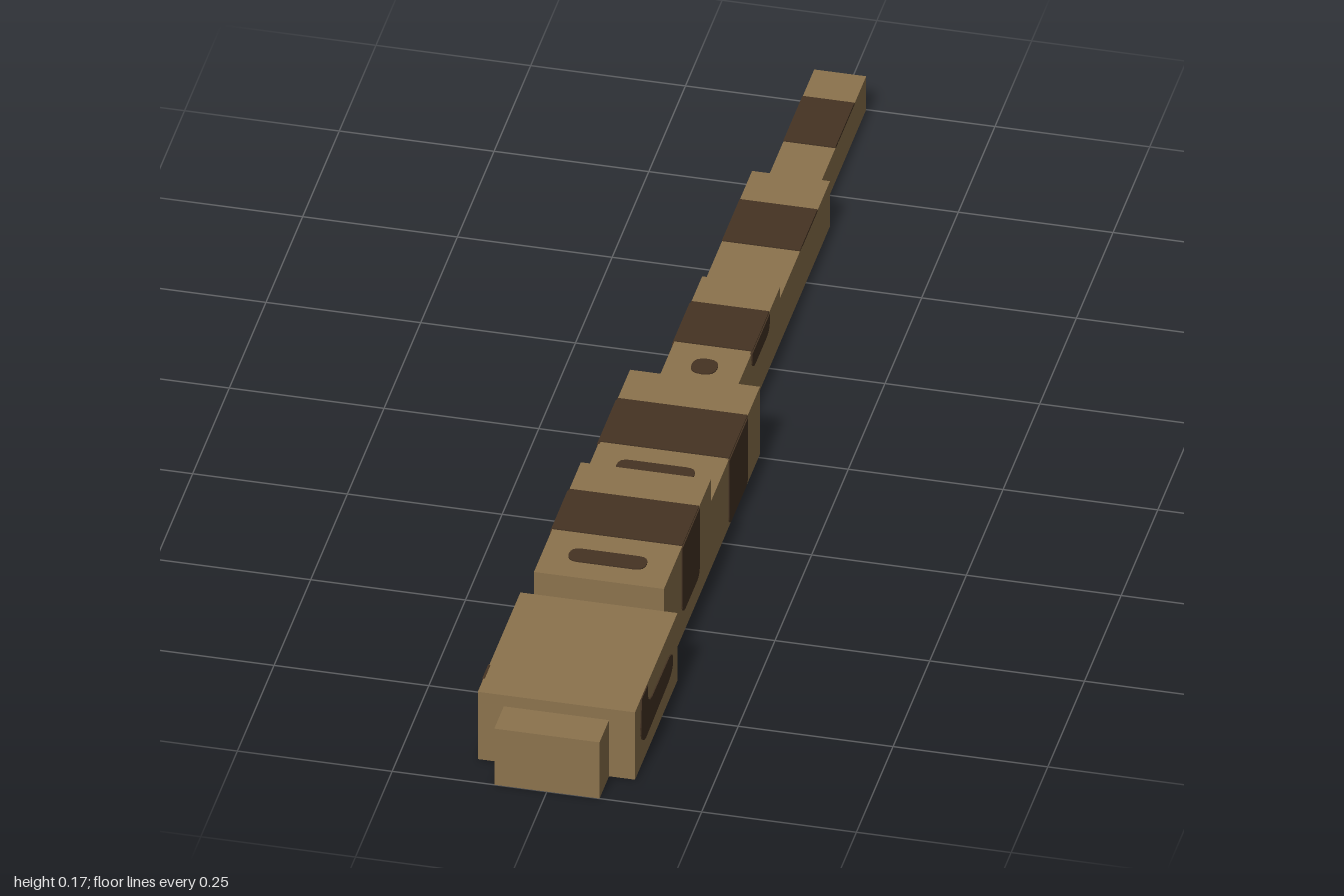
import * as THREE from 'three';

const PLATE = 0.004; // painted marks straddle the surface by half of this

// Rounded rectangle with separate radii for lower and upper corners
function roundedRect(x0, x1, y0, y1, rLow, rHigh) {
  const s = new THREE.Shape();
  s.moveTo(x0 + rLow, y0);
  s.lineTo(x1 - rLow, y0);
  s.quadraticCurveTo(x1, y0, x1, y0 + rLow);
  s.lineTo(x1, y1 - rHigh);
  s.quadraticCurveTo(x1, y1, x1 - rHigh, y1);
  s.lineTo(x0 + rHigh, y1);
  s.quadraticCurveTo(x0, y1, x0, y1 - rHigh);
  s.lineTo(x0, y0 + rLow);
  s.quadraticCurveTo(x0, y0, x0 + rLow, y0);
  return s;
}

export function createModel() {
  const tan = new THREE.MeshStandardMaterial({ color: 0x8c734d });
  tan.name = 'tan scales';
  const dark = new THREE.MeshStandardMaterial({ color: 0x453323 });
  dark.name = 'dark markings';
  const belly = new THREE.MeshStandardMaterial({ color: 0x8b8a6c });
  belly.name = 'pale belly';

  const model = new THREE.Group();
  model.name = 'snake';

  function add(name, geometry, material) {
    const mesh = new THREE.Mesh(geometry, material);
    mesh.name = name;
    model.add(mesh);
  }

  // Body segments: name, half width, height, back z, front z, pale underside
  const segments = [
    ['snout', 0.085, 0.106, 0.935, 1, false],
    ['head', 0.127, 0.127, 0.645, 0.935, false],
    ['frontBody', 0.105, 0.169, 0.325, 0.645, true],
    ['rearBody', 0.105, 0.127, -0.01, 0.325, true],
    ['tailBase', 0.063, 0.106, -0.325, -0.01, true],
    ['tailMiddle', 0.063, 0.085, -0.665, -0.325, true],
    ['tailTip', 0.042, 0.063, -1, -0.665, true],
  ];
  for (const [name, w, h, z0, z1, pale] of segments) {
    const g = new THREE.BoxGeometry(2 * w, h, z1 - z0);
    g.translate(0, h / 2, (z0 + z1) / 2);
    add(name, g, pale ? [tan, tan, tan, belly, tan, tan] : tan);
  }

  // Mark lying on a top face; shape is drawn in x and z
  function topMark(name, shape, height) {
    const g = new THREE.ExtrudeGeometry(shape, { depth: PLATE, bevelEnabled: false, curveSegments: 4 });
    g.rotateX(Math.PI / 2);
    g.translate(0, height + PLATE / 2, 0);
    add(name, g, dark);
  }

  // Mark on both flanks; shape is drawn in z and y
  function sideMarks(name, shape, halfWidth) {
    for (const side of [1, -1]) {
      const g = new THREE.ExtrudeGeometry(shape, { depth: PLATE, bevelEnabled: false, curveSegments: 4 });
      g.rotateY(-Math.PI / 2);
      g.translate(side * halfWidth + PLATE / 2, 0, 0);
      add((side > 0 ? 'left' : 'right') + name, g, dark);
    }
  }

  // Broad bands across the back: half width, height, back z, front z
  const bands = [
    [0.105, 0.169, 0.405, 0.52],
    [0.105, 0.127, 0.075, 0.2],
    [0.063, 0.106, -0.25, -0.135],
    [0.063, 0.085, -0.58, -0.46],
    [0.042, 0.063, -0.92, -0.79],
  ];
  for (const [w, h, z0, z1] of bands) topMark('backBand', roundedRect(-w, w, z0, z1, 0, 0), h);

  // Short dashes and a dot between the bands
  topMark('backDash', roundedRect(-0.063, 0.063, 0.566, 0.602, 0.017, 0.017), 0.169);
  topMark('backDash', roundedRect(-0.063, 0.063, 0.242, 0.278, 0.017, 0.017), 0.127);
  topMark('backDot', roundedRect(-0.021, 0.021, -0.096, -0.054, 0.02, 0.02), 0.106);

  // Bands running down the flanks
  sideMarks('FrontFlankBand', roundedRect(0.408, 0.526, 0.043, 0.169, 0.02, 0), 0.105);
  sideMarks('RearFlankBand', roundedRect(0.079, 0.206, 0.005, 0.127, 0.015, 0), 0.105);
  sideMarks('TailFlankBand', roundedRect(-0.247, -0.127, 0.075, 0.106, 0.022, 0), 0.063);

  // Hooked cheek patch on the head
  const cheek = new THREE.Shape();
  cheek.moveTo(0.715, 0.042);
  cheek.lineTo(0.868, 0.036);
  cheek.quadraticCurveTo(0.9, 0.042, 0.9, 0.075);
  cheek.lineTo(0.896, 0.127);
  cheek.lineTo(0.856, 0.127);
  cheek.quadraticCurveTo(0.862, 0.09, 0.825, 0.087);
  cheek.lineTo(0.71, 0.085);
  cheek.quadraticCurveTo(0.682, 0.082, 0.683, 0.062);
  cheek.quadraticCurveTo(0.685, 0.044, 0.715, 0.042);
  sideMarks('CheekPatch', cheek, 0.127);

  return model;
}
